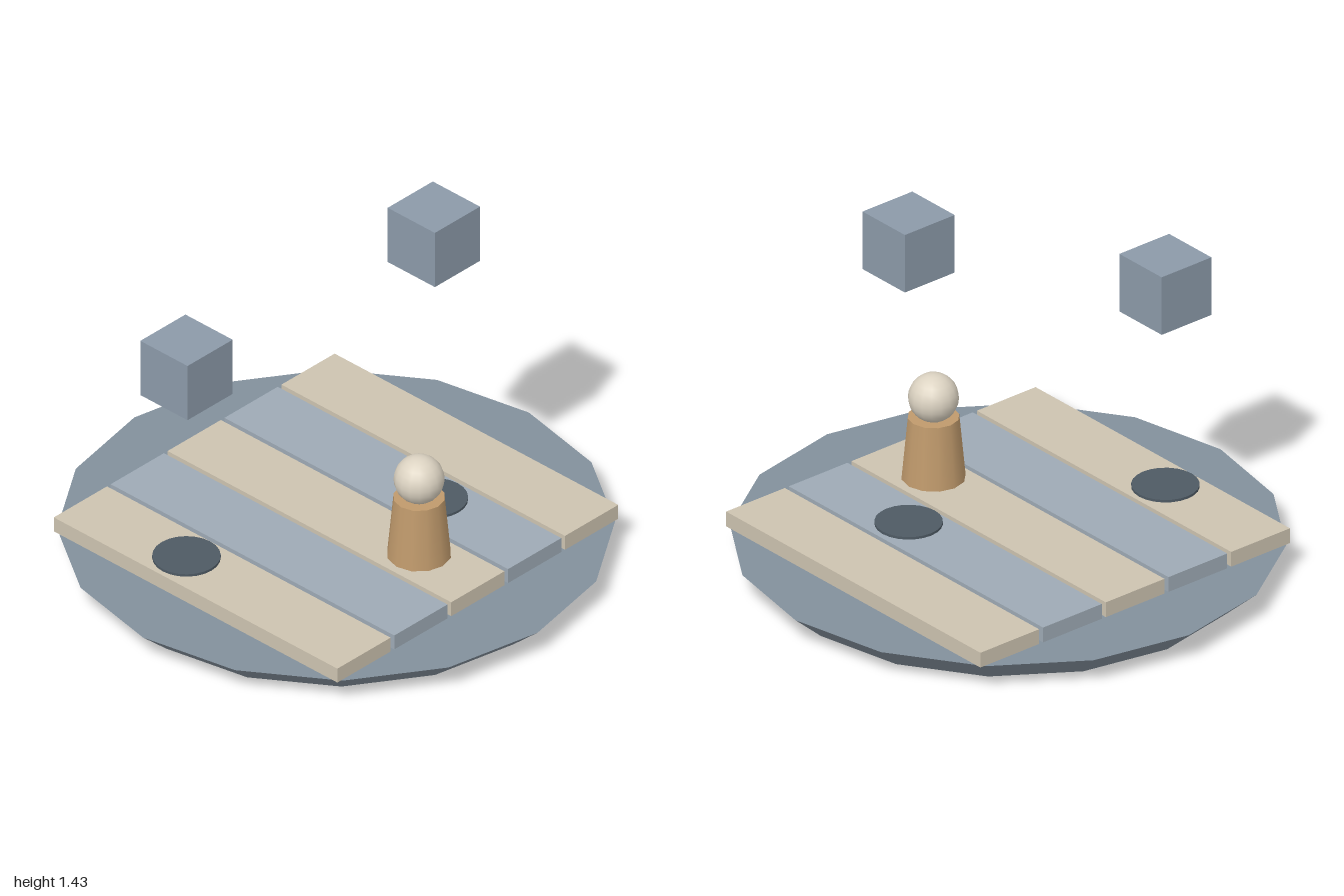
import * as THREE from 'three';

export function createModel() {
  const group = new THREE.Group();
  const colors = {
    stone: 0x82909c, tan: 0xcdc3b0, paleBlue: 0x9eaab5,
    block: 0x8c9aa9, shadow: 0x4e5a64, wood: 0xc09a6c, ivory: 0xdcd3c2,
  };
  const mats = {};
  for (const key in colors) mats[key] = new THREE.MeshStandardMaterial({ color: colors[key] });

  const add = (name, geometry, mat, x, y, z) => {
    const mesh = new THREE.Mesh(geometry, mats[mat]);
    mesh.name = name;
    mesh.position.set(x, y, z);
    group.add(mesh);
  };

  // Tapered sixteen-sided platform
  add('platform', new THREE.CylinderGeometry(1, 0.88, 0.106, 16), 'stone', 0, 0.053, 0);

  // Five alternating lanes
  const pitch = 0.295;
  for (let i = -2; i <= 2; i++) {
    add(`lane${i + 3}`, new THREE.BoxGeometry(0.276, 0.06, 1.406),
      i % 2 === 0 ? 'tan' : 'paleBlue', i * pitch, 0.136, 0);
  }

  // Falling blocks, each above its round landing marker
  [[-0.59, 0.991, -0.177], [0.293, 1.314, 0.205]].forEach(([x, y, z], i) => {
    add(`fallingBlock${i + 1}`, new THREE.BoxGeometry(0.234, 0.234, 0.234), 'block', x, y, z);
    add(`landingMarker${i + 1}`, new THREE.CylinderGeometry(0.123, 0.123, 0.01, 24), 'shadow', x, 0.175, z);
  });

  // Pawn: tapered body with a round head
  add('pawnBody', new THREE.CylinderGeometry(0.094, 0.117, 0.246, 12), 'wood', 0, 0.297, 0.412);
  add('pawnHead', new THREE.SphereGeometry(0.092, 16, 12), 'ivory', 0, 0.497, 0.412);

  return group;
}
